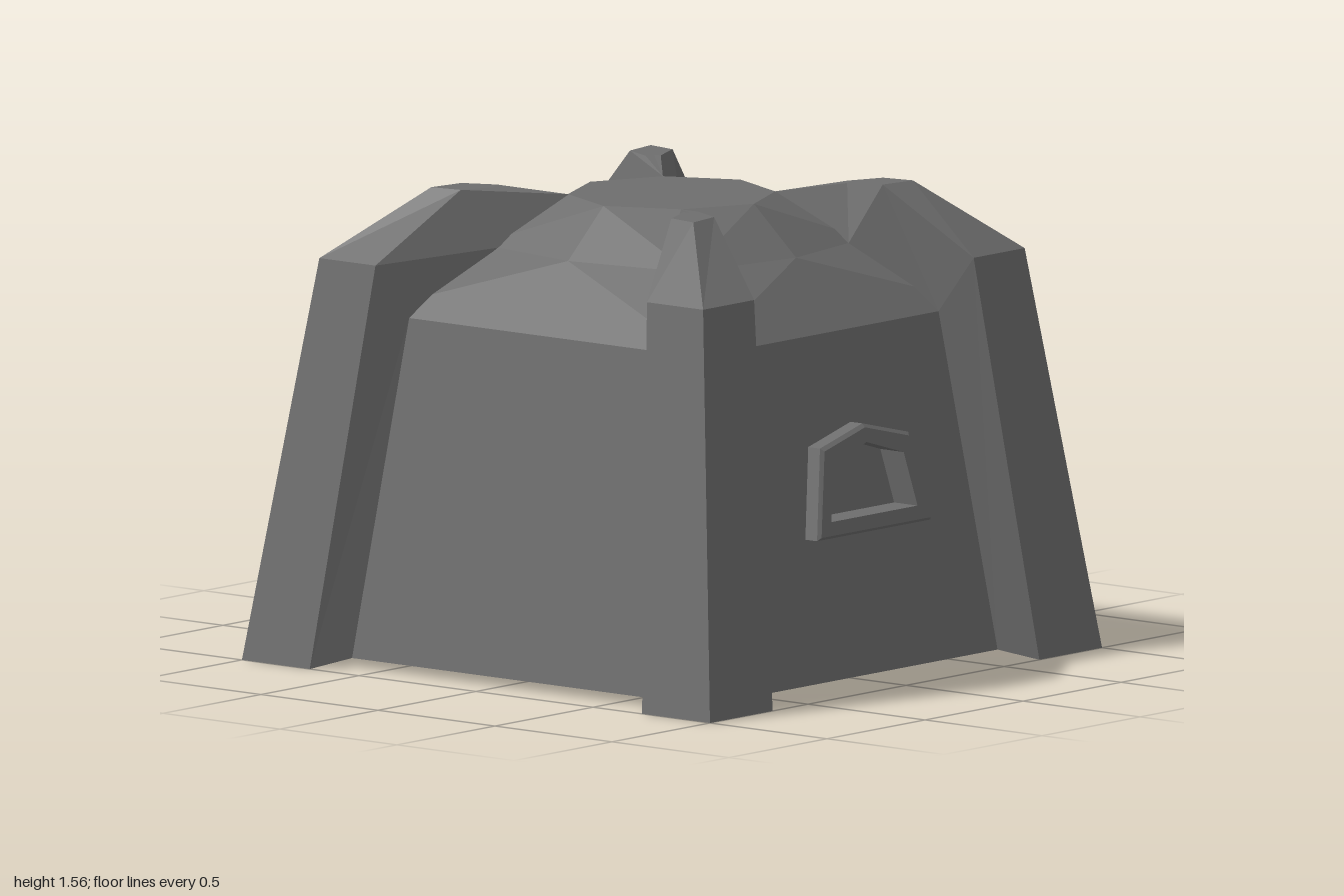
import * as THREE from 'three';

const material = new THREE.MeshStandardMaterial({ color: 0x6e6e6e, flatShading: true });

// Skin a list of rings (arrays of [x, y, z]) with flat facets, optionally capped.
// With mirrored set, every second quad is split along its other diagonal.
function loft(rings, { closed = true, capStart = false, capEnd = false, mirrored = false } = {}) {
  const pos = [];
  const tri = (a, b, c) => pos.push(...a, ...b, ...c);
  const n = rings[0].length;
  for (let r = 0; r < rings.length - 1; r++) {
    const lo = rings[r], hi = rings[r + 1];
    for (let i = 0; i < (closed ? n : n - 1); i++) {
      const j = (i + 1) % n;
      if (mirrored && i % 2) {
        tri(lo[i], lo[j], hi[i]);
        tri(lo[j], hi[j], hi[i]);
      } else {
        tri(lo[i], lo[j], hi[j]);
        tri(lo[i], hi[j], hi[i]);
      }
    }
  }
  const first = rings[0], last = rings[rings.length - 1];
  for (let i = 1; i < n - 1; i++) {
    if (capStart) tri(first[0], first[i + 1], first[i]);
    if (capEnd) tri(last[0], last[i], last[i + 1]);
  }
  const geometry = new THREE.BufferGeometry();
  geometry.setAttribute('position', new THREE.Float32BufferAttribute(pos, 3));
  geometry.computeVertexNormals();
  return geometry;
}

function part(name, geometry) {
  const mesh = new THREE.Mesh(geometry, material);
  mesh.name = name;
  return mesh;
}

// Distance of the sloping wall from the centre at height y
const BASE = 0.03, EAVE = 1.15;
const wallZ = y => 0.88 - 0.16 * (y - BASE) / (EAVE - BASE);

// Eight-sided ring: corners at c, edge midpoints at m
function octRing(c, m, y) {
  return [[-c, c], [0, m], [c, c], [m, 0], [c, -c], [0, -m], [-c, -c], [-m, 0]]
    .map(([x, z]) => [x, y, z]);
}

// Gabled window outline, counter-clockwise from the front
const windowOutline = (bottomHalf, bottom, topHalf, shoulder, peak) => [
  [-bottomHalf, bottom], [bottomHalf, bottom], [topHalf, shoulder],
  [0, peak], [-topHalf, shoulder],
];

function createWall(hole) {
  const shape = new THREE.Shape([
    [-wallZ(BASE), BASE], [wallZ(BASE), BASE],
    [wallZ(EAVE), EAVE], [-wallZ(EAVE), EAVE],
  ].map(p => new THREE.Vector2(...p)));
  if (hole) shape.holes.push(new THREE.Path(hole.map(p => new THREE.Vector2(...p))));
  const geometry = new THREE.ShapeGeometry(shape);
  const p = geometry.attributes.position;
  for (let i = 0; i < p.count; i++) p.setZ(i, wallZ(p.getY(i)));
  geometry.computeVertexNormals();
  return geometry;
}

export function createModel() {
  const model = new THREE.Group();
  model.name = 'bunker';

  const outer = windowOutline(0.29, 0.5, 0.225, 0.795, 0.85);
  const bevel = windowOutline(0.277, 0.51, 0.215, 0.785, 0.838);
  const opening = windowOutline(0.22, 0.555, 0.18, 0.735, 0.79);

  // Four leaning walls, the front one pierced for the window
  ['frontWall', 'leftWall', 'backWall', 'rightWall'].forEach((name, i) => {
    const wall = part(name, createWall(i === 0 ? opening : null));
    wall.rotation.y = i * Math.PI / 2;
    model.add(wall);
  });

  // Underside
  const floor = part('floor', new THREE.PlaneGeometry(1.76, 1.76));
  floor.rotation.x = Math.PI / 2;
  floor.position.y = BASE;
  model.add(floor);

  // Roof slopes up from the square eaves to a flat octagon
  model.add(part('roof', loft([
    octRing(0.72, 0.72, EAVE),
    octRing(0.45, 0.53, 1.37),
    octRing(0.24, 0.35, 1.53),
  ], { capEnd: true, mirrored: true })));

  // Window frame standing proud of the wall, with a recessed pane
  const onWall = (outline, d) => outline.map(([x, y]) => [x, y, wallZ(y) + d]);
  model.add(part('windowFrame', loft([
    onWall(outer, 0), onWall(outer, 0.05), onWall(bevel, 0.06),
    onWall(opening, 0.06), onWall(opening, -0.04),
  ], { capEnd: true })));

  // Corner buttress: foot, shoulder, crest, inner crest, tip at the roof octagon
  const tip = [0.24, 1.53, 0.24];
  const buttress = [
    [[0.61, BASE, 0.88], [0.68, 0, 1], [1, 0, 1], [1, 0, 0.71], [0.88, BASE, 0.63]],
    [[0.5, EAVE, 0.72], [0.56, 1.33, 0.82], [0.82, 1.33, 0.82], [0.82, 1.33, 0.58], [0.72, EAVE, 0.52]],
    [[0.34, 1.37, 0.47], [0.43, 1.56, 0.54], [0.56, 1.56, 0.56], [0.54, 1.56, 0.45], [0.47, 1.37, 0.35]],
    [tip, [0.38, 1.56, 0.43], [0.41, 1.56, 0.42], [0.42, 1.56, 0.4], tip],
    [tip, tip, tip, tip, tip],
  ];
  for (const [sx, sz, name] of [
    [1, 1, 'frontLeftButtress'], [-1, 1, 'frontRightButtress'],
    [1, -1, 'backLeftButtress'], [-1, -1, 'backRightButtress'],
  ]) {
    const rings = buttress.map(ring => {
      const r = ring.map(([x, y, z]) => [x * sx, y, z * sz]);
      return sx * sz < 0 ? r.reverse() : r;
    });
    model.add(part(name, loft(rings, { closed: false, capStart: true })));
  }

  return model;
}
